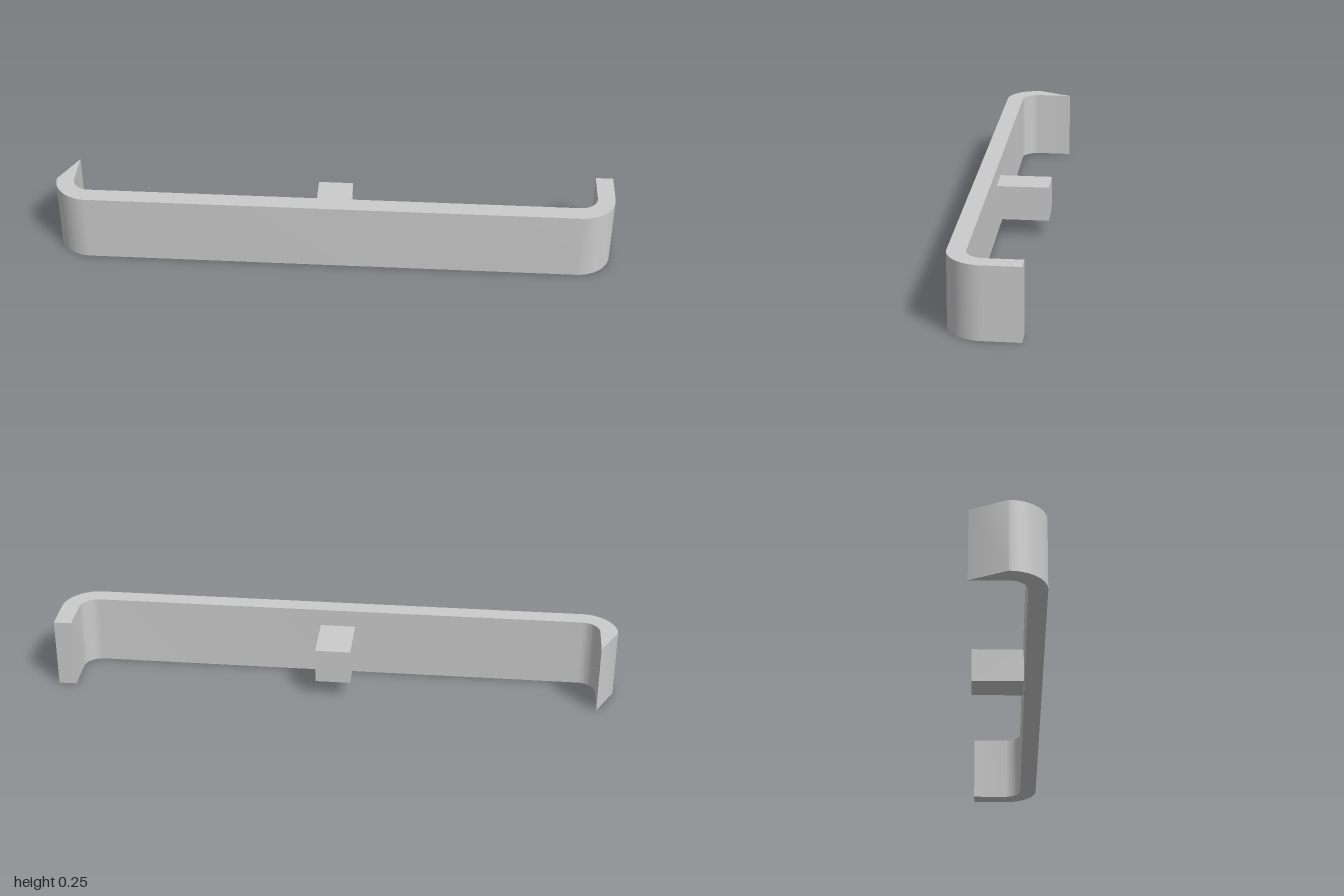
import * as THREE from 'three';
import { toCreasedNormals } from 'three/addons/utils/BufferGeometryUtils.js';

const HEIGHT = 0.25, DEPTH = 0.25, WALL = 0.0625, RADIUS = 0.125;

export function createModel() {
  const group = new THREE.Group();
  const material = new THREE.MeshStandardMaterial({ color: 0xcccccc });
  const add = (name, geometry) => {
    const mesh = new THREE.Mesh(geometry, material);
    mesh.name = name;
    group.add(mesh);
    return mesh;
  };

  // Bent strip: plan outline (shape y = -z) with rounded corners, extruded upward
  const back = DEPTH / 2, cx = 1 - RADIUS, inner = RADIUS - WALL, cy = RADIUS - DEPTH / 2;
  const outline = new THREE.Shape();
  outline.moveTo(-1, back);
  outline.absarc(-cx, cy, RADIUS, Math.PI, 1.5 * Math.PI, false);
  outline.absarc(cx, cy, RADIUS, 1.5 * Math.PI, 2 * Math.PI, false);
  outline.lineTo(1, back);
  outline.lineTo(1 - WALL, back);
  outline.absarc(cx, cy, inner, 0, -0.5 * Math.PI, true);
  outline.absarc(-cx, cy, inner, -0.5 * Math.PI, -Math.PI, true);
  outline.lineTo(-1 + WALL, back);
  outline.closePath();
  const strip = new THREE.ExtrudeGeometry(outline, { depth: HEIGHT, bevelEnabled: false, curveSegments: 20 });
  strip.rotateX(-Math.PI / 2);
  add('bentStrip', toCreasedNormals(strip, 0.5));

  // Mounting block behind the middle of the strip
  const blockDepth = DEPTH - WALL;
  add('mountingBlock', new THREE.BoxGeometry(0.125, 0.125, blockDepth))
    .position.set(0, HEIGHT / 2, -back + blockDepth / 2);

  return group;
}
